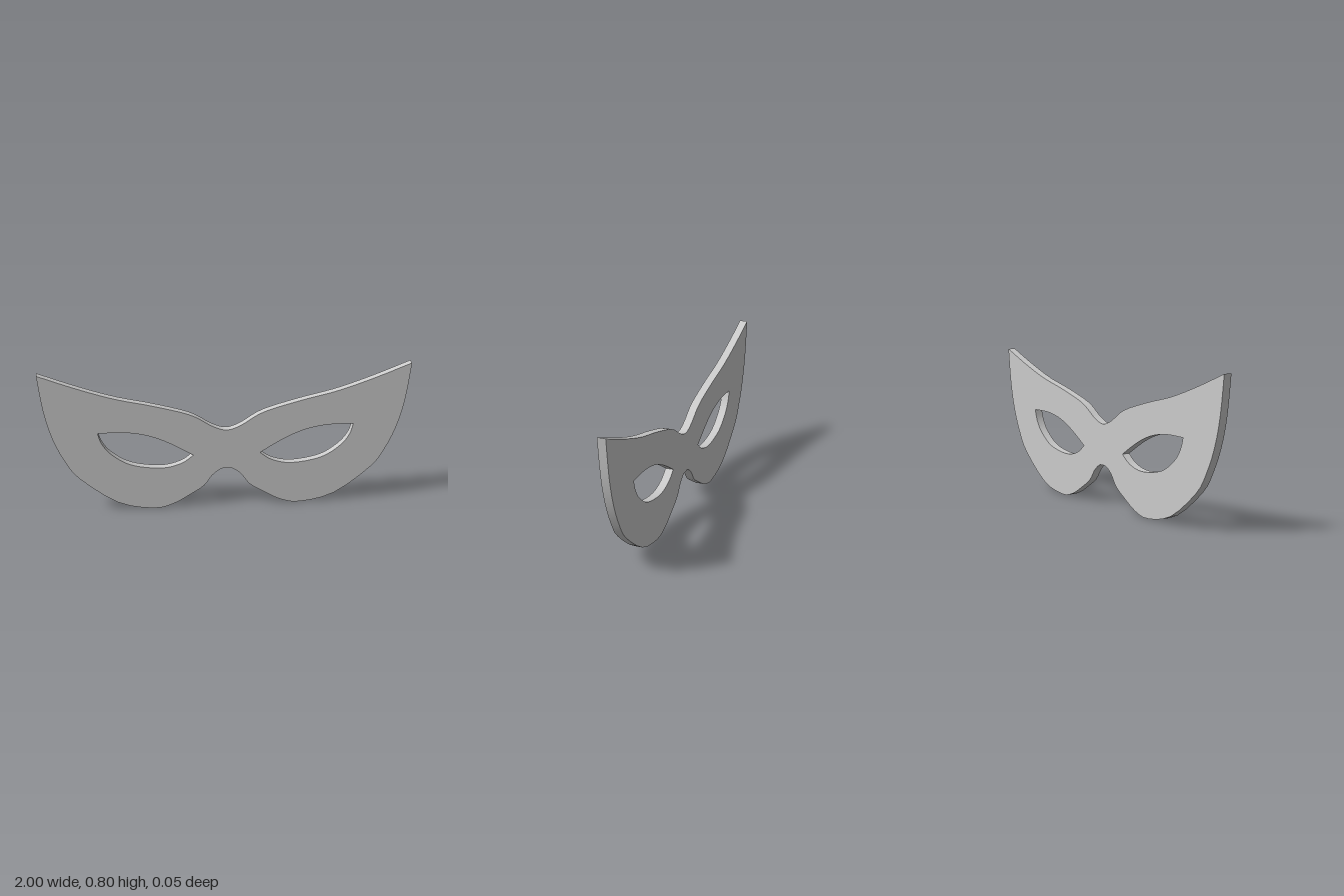
import * as THREE from 'three';
import { toCreasedNormals } from 'three/addons/utils/BufferGeometryUtils.js';

const THICKNESS = 0.045;

// Smooth curve through a few [x, y] points
const curve = (pts, n) =>
  new THREE.SplineCurve(pts.map(([x, y]) => new THREE.Vector2(x, y))).getPoints(n);

// The same points mirrored in x and walked in the opposite order
const mirror = (pts) => pts.map(([x, y]) => [-x, y]).reverse();

// Closed path from curves that meet in sharp corners
const closed = (curves) => curves.flatMap((c) => c.slice(0, -1));

export function createModel() {
  const group = new THREE.Group();
  group.name = 'mask';

  // Half outlines, from the nose to the pointed tip
  const lower = [
    [0.035, 0.22], [0.08, 0.185], [0.125, 0.125], [0.2, 0.075], [0.3, 0.02], [0.41, 0],
    [0.6, 0.045], [0.8, 0.195], [0.875, 0.3], [0.935, 0.435], [0.975, 0.595], [1, 0.8],
  ];
  const upper = [
    [0.035, 0.458], [0.09, 0.483], [0.2, 0.548], [0.4, 0.607],
    [0.6, 0.655], [0.8, 0.722], [1, 0.8],
  ];
  const bottomEdge = curve([...mirror(lower), [0, 0.225], ...lower], 72);
  const topEdge = curve([...mirror(upper), [0, 0.452], ...upper].reverse(), 60);
  const shape = new THREE.Shape(closed([bottomEdge, topEdge]));

  // Almond eye holes with sharp inner and outer corners
  const lid = [[0.183, 0.31], [0.275, 0.366], [0.36, 0.41], [0.45, 0.442], [0.56, 0.46], [0.695, 0.46]];
  const under = [[0.695, 0.46], [0.675, 0.398], [0.625, 0.333], [0.52, 0.267],
    [0.36, 0.241], [0.25, 0.264], [0.183, 0.31]];
  for (const side of [1, -1]) {
    const flip = (pts) => pts.map(([x, y]) => [side * x, y]);
    shape.holes.push(new THREE.Path(closed([curve(flip(lid), 20), curve(flip(under), 24)])));
  }

  // Flat plate cut from the outline
  let plate = new THREE.ExtrudeGeometry(shape, { depth: THICKNESS, bevelEnabled: false });
  plate.translate(0, 0, -THICKNESS / 2);
  plate = toCreasedNormals(plate, Math.PI / 6);
  const mesh = new THREE.Mesh(plate, new THREE.MeshStandardMaterial({ color: 0xcccccc }));
  mesh.name = 'maskPlate';
  group.add(mesh);
  return group;
}
